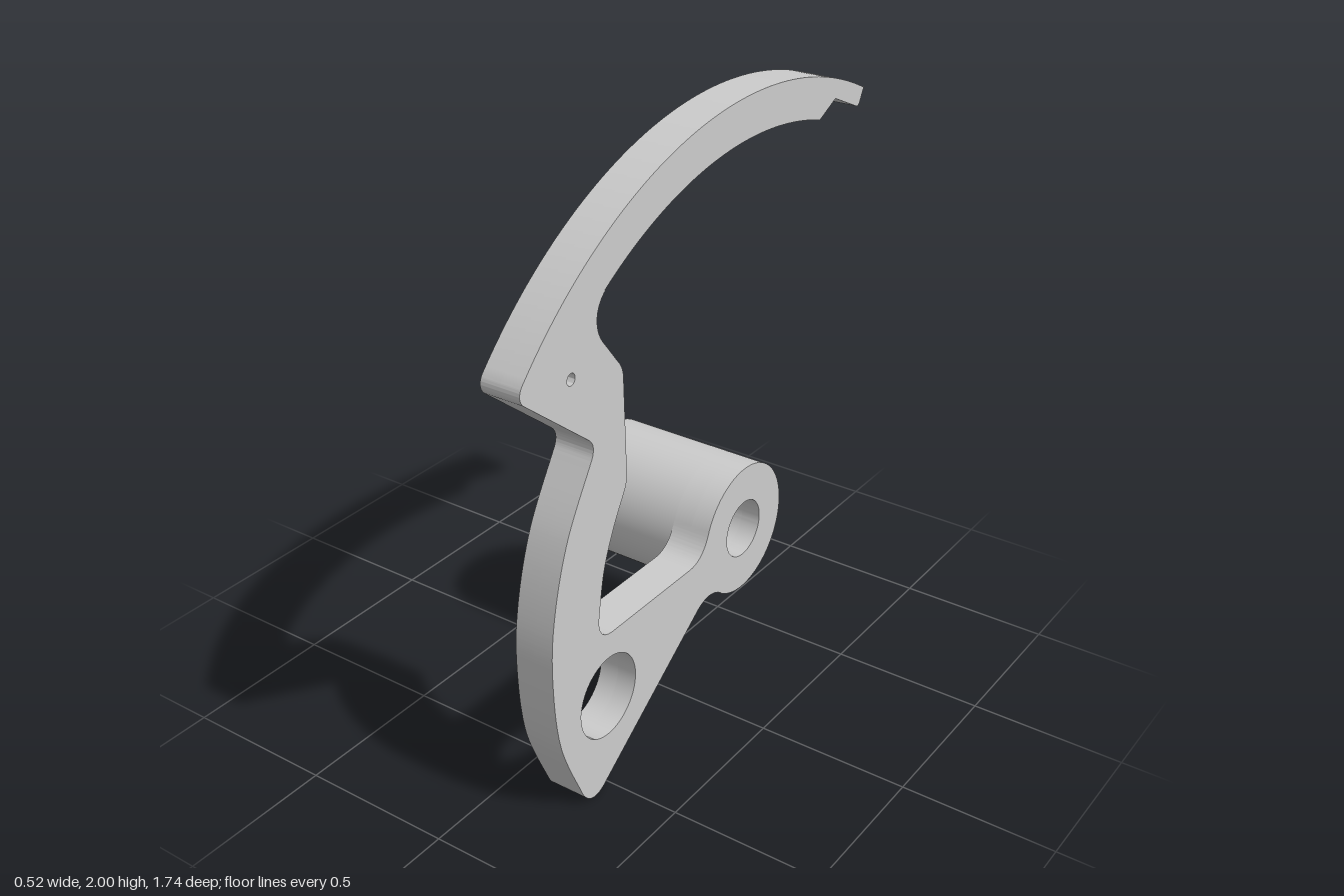
import * as THREE from 'three';
import { toCreasedNormals } from 'three/addons/utils/BufferGeometryUtils.js';

const PIVOT = [0.23, 0.55];           // boss axis (u = -z, y)
const ARC = [0.23, 0.54];             // centre of the curved upper arm
const R_OUT = 1.46, R_IN = 1.33;

function addHole(shape, u, v, r) {
  const hole = new THREE.Path();
  hole.absarc(u, v, r, 0, Math.PI * 2, true);
  shape.holes.push(hole);
}

// Side outline, drawn in (u = -z, y). With a pocket, the head keeps only its rim.
function outline(pocket) {
  const s = new THREE.Shape();
  const line = (z, y) => s.lineTo(-z, y);
  const curve = (cz, cy, z, y) => s.quadraticCurveTo(-cz, cy, -z, y);
  const spline = (pts) => s.splineThru(pts.map(([z, y]) => new THREE.Vector2(-z, y)));

  // rounded foot and lower edge up to the boss
  s.moveTo(-0.64, 0.05);
  s.bezierCurveTo(-0.615, 0, -0.57, -0.017, -0.52, 0.025);
  line(0.035, 0.37);
  curve(-0.035, 0.42, -0.105, 0.37);
  s.absarc(...PIVOT, 0.221, -2.176, 2.798, false);
  curve(0.01, 0.55, 0.08, 0.55);

  // inner edge of the web and lower arm
  line(0.48, 0.55);
  curve(0.55, 0.55, 0.55, 0.62);
  spline([[0.525, 0.77], [0.48, 0.89], [0.42, 1.0]]);
  curve(0.41, 1.02, 0.41, 1.045);

  if (pocket) {
    line(0.42, 1.25);
    line(0.51, 1.25);
    curve(0.525, 1.25, 0.54, 1.262);
    line(0.705, 1.4);
    curve(0.745, 1.435, 0.71, 1.481);
    s.absarc(...ARC, R_IN, 2.353, 1.289, true);
  } else {
    line(0.425, 1.36);
    curve(0.427, 1.39, 0.45, 1.415);
    line(0.51, 1.49);
    s.bezierCurveTo(-0.555, 1.54, -0.555, 1.605, -0.505, 1.645);
    s.absarc(...ARC, R_IN, 2.158, 1.289, true);
  }

  // notched tip, outer arc and pointed head
  line(-0.69, 1.862);
  line(-0.825, 1.803);
  curve(-0.84, 1.797, -0.847, 1.81);
  line(-0.87, 1.855);
  s.absarc(...ARC, R_OUT, 1.118, 2.419, false);
  curve(0.885, 1.475, 0.86, 1.45);
  line(0.585, 1.23);
  curve(0.55, 1.2, 0.58, 1.155);

  // bowed outer edge back to the foot
  spline([[0.69, 0.96], [0.753, 0.75], [0.77, 0.55], [0.74, 0.29], [0.64, 0.05]]);

  addHole(s, ...PIVOT, 0.097);
  addHole(s, -0.505, 0.33, 0.137);
  if (!pocket) addHole(s, -0.66, 1.445, 0.018);
  return s;
}

// Extrude a side outline between two x positions
function slab(name, shape, x0, x1, material) {
  const flat = new THREE.ExtrudeGeometry(shape, {
    depth: x1 - x0, bevelEnabled: false, curveSegments: 40,
  });
  flat.rotateY(Math.PI / 2).translate(x0, 0, 0);
  const mesh = new THREE.Mesh(toCreasedNormals(flat, 0.45), material);
  mesh.name = name;
  return mesh;
}

export function createModel() {
  const group = new THREE.Group();
  group.name = 'hookedLever';
  const grey = new THREE.MeshStandardMaterial({ color: 0xcccccc });

  // full plate, and the backing layer with the head pocket cut out
  group.add(slab('leverPlate', outline(false), 0.195, 0.26, grey));
  group.add(slab('pocketedBackLayer', outline(true), 0.13, 0.195, grey));

  // hollow pivot boss
  const ring = new THREE.Shape();
  ring.absarc(...PIVOT, 0.221, 0, Math.PI * 2, false);
  addHole(ring, ...PIVOT, 0.097);
  group.add(slab('pivotBoss', ring, -0.26, 0.13, grey));

  return group;
}
